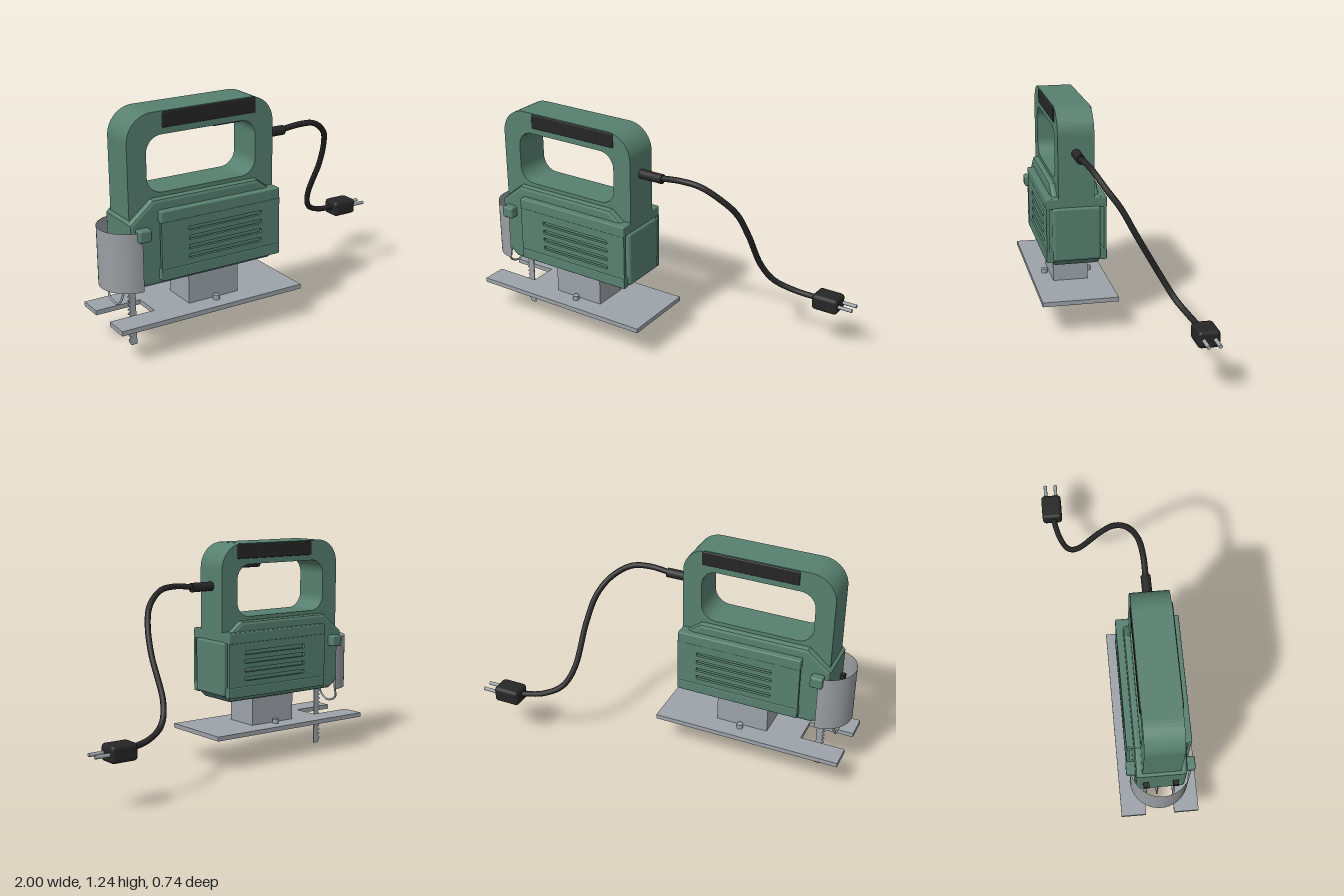
import * as THREE from 'three';
import { RoundedBoxGeometry } from 'three/addons/geometries/RoundedBoxGeometry.js';

const MID = 0.158; // z of the tool's own centre plane

const paint = (name, color) => {
  const m = new THREE.MeshStandardMaterial({ color });
  m.name = name;
  return m;
};

// closed polygon from [x, y] pairs
const poly = (pts, Type = THREE.Shape) => new Type(pts.map(p => new THREE.Vector2(...p)));

// rectangle with rounded corners; radii of the lower and upper corners
function roundRect(x0, x1, y0, y1, rLow, rTop, Type = THREE.Shape) {
  const s = new Type();
  const corner = (cx, cy, r, a) => s.absarc(cx, cy, r, a, a + Math.PI / 2, false);
  corner(x1 - rTop, y1 - rTop, rTop, 0);
  corner(x0 + rTop, y1 - rTop, rTop, Math.PI / 2);
  corner(x0 + rLow, y0 + rLow, rLow, Math.PI);
  corner(x1 - rLow, y0 + rLow, rLow, Math.PI * 1.5);
  s.closePath();
  return s;
}

// extrusion between two z values, with the bevel kept inside the outline
function slab(shape, z0, z1, bevel = 0) {
  const g = new THREE.ExtrudeGeometry(shape, {
    depth: z1 - z0 - 2 * bevel, curveSegments: 6, bevelEnabled: bevel > 0,
    bevelThickness: bevel, bevelSize: bevel, bevelOffset: -bevel, bevelSegments: 2,
  });
  return g.translate(0, 0, z0 + bevel);
}

// box given by its limits, optionally rounded
function block(x0, x1, y0, y1, z0, z1, r = 0) {
  const d = [x1 - x0, y1 - y0, z1 - z0];
  const g = r ? new RoundedBoxGeometry(...d, 2, r) : new THREE.BoxGeometry(...d);
  return g.translate((x0 + x1) / 2, (y0 + y1) / 2, (z0 + z1) / 2);
}

const tube = (pts, radius, steps = 40) => new THREE.TubeGeometry(
  new THREE.CatmullRomCurve3(pts.map(p => new THREE.Vector3(...p))), steps, radius, 10);

export function createModel() {
  const model = new THREE.Group();
  model.name = 'jigsaw';
  const green = paint('green casing', 0x578070);
  const black = paint('black rubber', 0x262626);
  const steel = paint('grey steel', 0x9ca3a8);
  const sheet = paint('grey guard', 0x9a9fa2);
  sheet.side = THREE.DoubleSide;

  const add = (name, geometry, material) => {
    const mesh = new THREE.Mesh(geometry, material);
    mesh.name = name;
    model.add(mesh);
    return mesh;
  };

  // motor casing
  add('body', slab(poly([
    [-0.82, 0.36], [-0.09, 0.36], [-0.05, 0.4], [-0.05, 0.72], [-0.165, 0.807],
    [-0.77, 0.807], [-0.9, 0.7], [-0.9, 0.42],
  ]), MID - 0.134, MID + 0.134, 0.018), green);
  add('rearCap', block(-0.08, -0.036, 0.395, 0.7, MID - 0.132, MID + 0.132, 0.015), green);
  add('shoulderBand', block(-0.745, -0.05, 0.692, 0.752, MID - 0.17, MID + 0.17, 0.007), green);
  add('sideClips', block(-0.87, -0.802, 0.614, 0.677, MID - 0.18, MID + 0.18, 0.01), green);

  // vented covers on both sides
  for (const side of [-1, 1]) {
    const cover = poly([[-0.745, 0.39], [-0.05, 0.39], [-0.05, 0.7], [-0.745, 0.7]]);
    for (let i = 0; i < 4; i++) {
      const y = 0.49 + i * 0.049;
      cover.holes.push(roundRect(-0.59, -0.16, y - 0.011, y + 0.011, 0.005, 0.005, THREE.Path));
    }
    const z = MID + side * 0.159;
    add('ventCover', slab(cover, z - 0.008, z + 0.008), green);
    const rail = MID + side * 0.148;
    add('coverRail', block(-0.745, -0.05, 0.388, 0.448, rail - 0.022, rail + 0.022, 0.007), green);
  }

  // closed handle
  const handle = roundRect(-0.886, -0.05, 0.7, 1.236, 0.02, 0.14);
  handle.holes.push(roundRect(-0.782, -0.156, 0.828, 1.12, 0.085, 0.085, THREE.Path));
  add('handle', slab(handle, MID - 0.1, MID + 0.1), green);
  for (const side of [-1, 1]) {
    const z = MID + side * 0.096;
    add('gripPad', block(-0.69, -0.155, 1.152, 1.231, z - 0.01, z + 0.01, 0.006), black);
  }
  add('trigger', block(-0.37, -0.195, 1.094, 1.135, MID - 0.04, MID + 0.04, 0.012), black);

  // foot, sole plate with blade slot, and screws
  add('footBlock', block(-0.56, -0.265, 0.19, 0.37, MID - 0.1, MID + 0.1), steel);
  const sole = poly([
    [-1, -0.37], [0.06, -0.37], [0.06, 0.055], [-1, 0.055],
    [-1, -0.08], [-0.75, -0.08], [-0.75, -0.235], [-1, -0.235],
  ]);
  add('solePlate', slab(sole, 0.175, 0.2).rotateX(-Math.PI / 2), steel);
  for (const side of [-1, 1]) {
    add('soleScrew', new THREE.CylinderGeometry(0.018, 0.018, 0.03, 14)
      .translate(-0.412, 0.21, MID + side * 0.128), steel);
  }

  // toothed blade
  const edge = [[-0.815, 0.38], [-0.855, 0.38]];
  for (let y = 0.36; y > 0.03; y -= 0.024) edge.push([-0.845, y], [-0.862, y - 0.018]);
  edge.push([-0.848, 0], [-0.815, 0]);
  add('blade', slab(poly(edge), MID - 0.003, MID + 0.003), steel);

  // curved front guard, its fixings and the wire finger guard
  add('bladeGuard', new THREE.CylinderGeometry(0.157, 0.157, 0.312, 24, 1, true, Math.PI, Math.PI)
    .translate(-0.843, 0.508, MID), sheet);
  for (const side of [-1, 1]) {
    add('guardFixing', block(-0.925, -0.89, 0.53, 0.57, MID + side * 0.078 - 0.015,
      MID + side * 0.078 + 0.015), black);
  }
  add('wireGuard', tube([
    [-0.9, 0.43, MID - 0.075], [-0.915, 0.34, MID - 0.075], [-0.932, 0.28, MID - 0.06],
    [-0.928, 0.255, MID], [-0.932, 0.28, MID + 0.06], [-0.915, 0.34, MID + 0.075],
    [-0.9, 0.43, MID + 0.075],
  ], 0.006), steel);

  // power cord with sleeve and plug
  add('cordSleeve', new THREE.CylinderGeometry(0.026, 0.026, 0.15, 16)
    .rotateZ(Math.PI / 2).translate(0.01, 1, MID), black);
  add('cord', tube([
    [0.05, 1, MID], [0.2, 1.014, 0.155], [0.3, 1, 0.138], [0.4, 0.93, 0.09],
    [0.456, 0.84, 0.025], [0.485, 0.7, -0.05], [0.5, 0.47, -0.18], [0.55, 0.37, -0.238],
    [0.65, 0.318, -0.282], [0.8, 0.293, -0.314],
  ], 0.016, 64), black);
  add('plug', block(0.77, 0.92, 0.246, 0.336, -0.373, -0.258, 0.02), black);
  for (const z of [-0.345, -0.286]) {
    add('plugPin', new THREE.CylinderGeometry(0.01, 0.01, 0.1, 12)
      .rotateZ(Math.PI / 2).translate(0.95, 0.291, z), steel);
  }
  return model;
}
